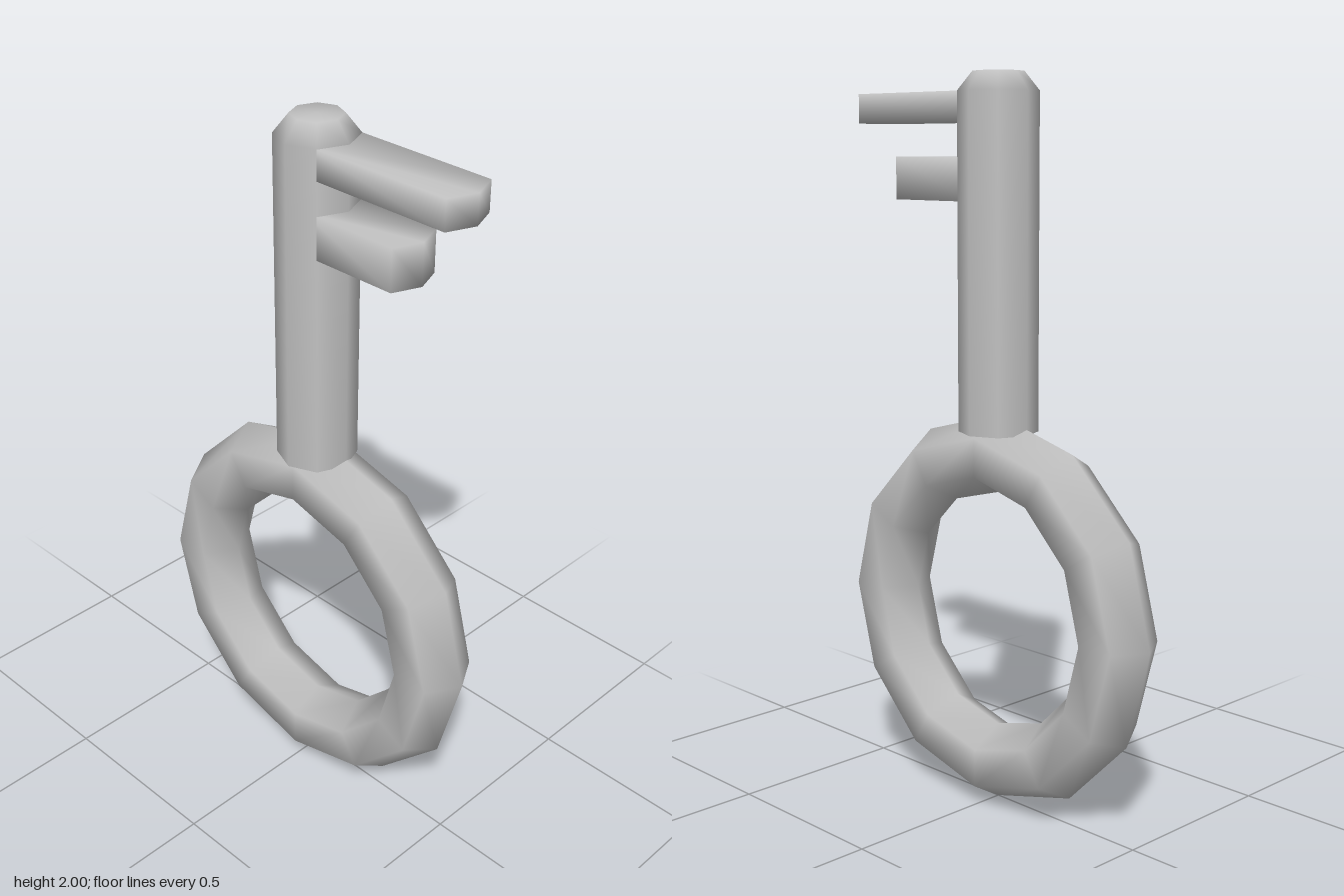
import * as THREE from 'three';
import { mergeVertices } from 'three/addons/utils/BufferGeometryUtils.js';

// Weld all corners so the shading runs smoothly over the edges
function smooth(geometry) {
  geometry.deleteAttribute('normal');
  geometry.deleteAttribute('uv');
  const welded = mergeVertices(geometry, 1e-4);
  welded.computeVertexNormals();
  return welded;
}

export function createModel() {
  const key = new THREE.Group();
  key.name = 'key';
  const metal = new THREE.MeshStandardMaterial({ color: 0xc0c0c0 });
  metal.name = 'grey metal';

  const add = (name, geometry) => {
    const mesh = new THREE.Mesh(geometry, metal);
    mesh.name = name;
    key.add(mesh);
    return mesh;
  };

  // Bow: twelve-segment ring with a six-sided section
  const ring = add('ringBow', new THREE.TorusGeometry(0.439, 0.107, 6, 12));
  ring.rotation.y = Math.PI / 2;
  ring.position.y = 0.55;

  // Shaft: octagonal bar with a chamfered top
  const profile = [[0.108, 1.05], [0.108, 1.95], [0.068, 2], [0, 2]]
    .map(([r, y]) => new THREE.Vector2(r, y));
  add('shaft', new THREE.LatheGeometry(profile, 8));

  // Flat underside of the shaft
  const base = add('shaftBase', new THREE.CircleGeometry(0.108, 8));
  base.rotation.x = Math.PI / 2;
  base.position.y = 1.05;

  // Teeth: flat bars with pointed ends, reaching forward from the shaft
  const addTooth = (name, bottom, top, reach) => {
    const w = 0.077;
    const outline = new THREE.Shape([
      [-w, -0.03], [-w, -(reach - 0.03)], [0, -reach], [w, -(reach - 0.03)], [w, -0.03],
    ].map(([x, y]) => new THREE.Vector2(x, y)));
    const bar = new THREE.ExtrudeGeometry(outline, { depth: top - bottom, bevelEnabled: false });
    bar.rotateX(-Math.PI / 2);
    add(name, smooth(bar)).position.y = bottom;
  };
  addTooth('upperTooth', 1.87, 1.95, 0.505);
  addTooth('lowerTooth', 1.665, 1.78, 0.35);

  return key;
}
